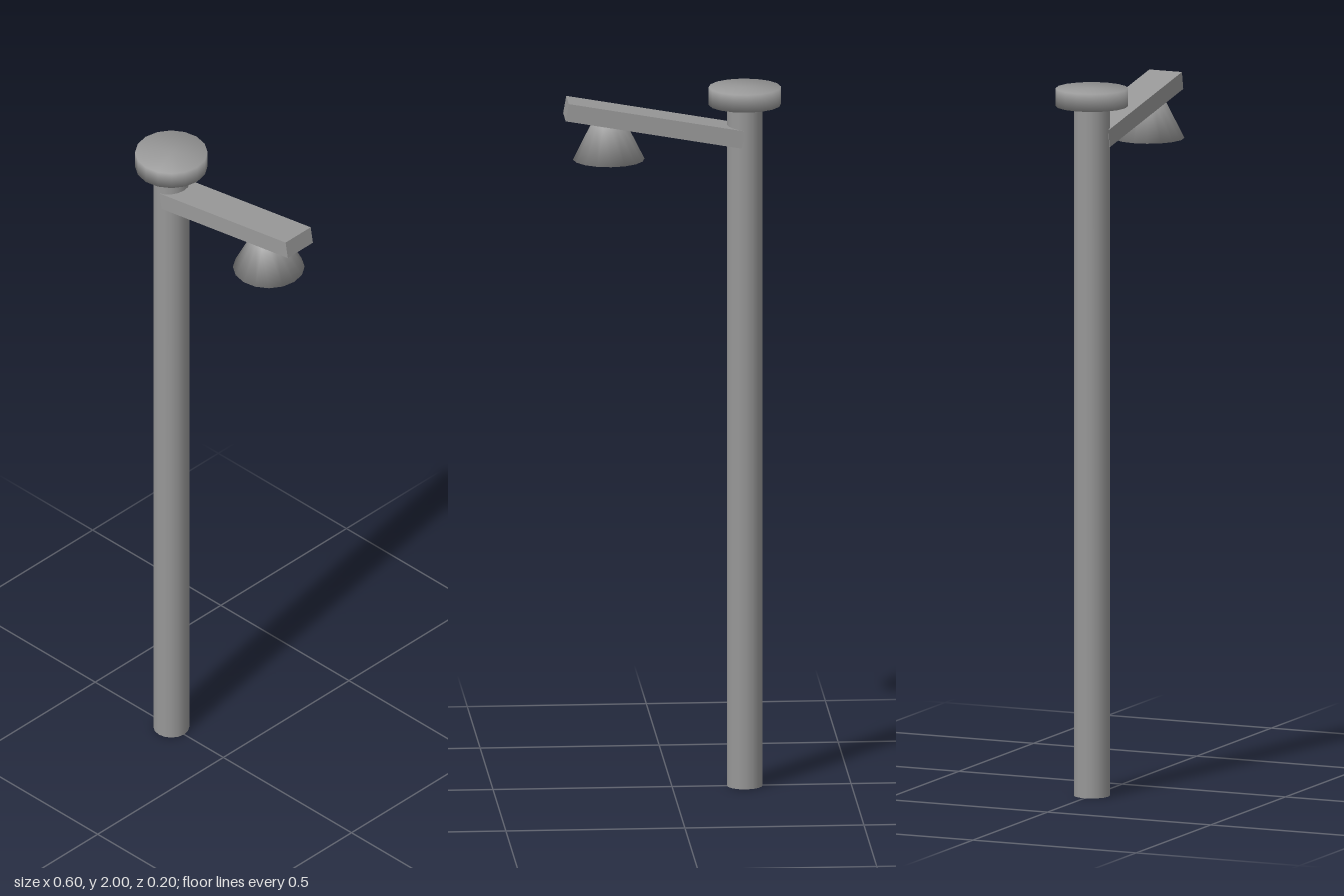
import * as THREE from 'three';

const SIDES = 16;

// Closed, smoothly shaded turned part; profile runs from bottom centre to top centre
function turned(name, profile, material) {
  const points = profile.map(([r, y]) => new THREE.Vector2(r, y));
  const mesh = new THREE.Mesh(new THREE.LatheGeometry(points, SIDES), material);
  mesh.name = name;
  return mesh;
}

export function createModel() {
  const group = new THREE.Group();
  group.name = 'streetLamp';

  const greyMetal = new THREE.MeshStandardMaterial({ color: 0x999999 });
  greyMetal.name = 'greyMetal';

  // Pole and wide cap turned as one piece, so shading flows across the edges
  const post = turned('poleWithCap', [
    [0, 0], [0.05, 0], [0.05, 1.95], [0.101, 1.95], [0.101, 2], [0, 2],
  ], greyMetal);
  post.position.x = -0.203;
  group.add(post);

  // Flat arm sloping up and away from the pole
  const arm = new THREE.Mesh(new THREE.BoxGeometry(0.5, 0.05, 0.1), greyMetal);
  arm.name = 'arm';
  arm.position.set(0.05, 1.903, 0);
  arm.rotation.z = THREE.MathUtils.degToRad(10);
  group.add(arm);

  // Flared lamp shade hanging under the arm
  const shade = turned('lampShade', [
    [0, 0], [0.1, 0], [0.05, 0.1], [0, 0.1],
  ], greyMetal);
  shade.position.set(0.177, 1.8, 0);
  group.add(shade);

  return group;
}
